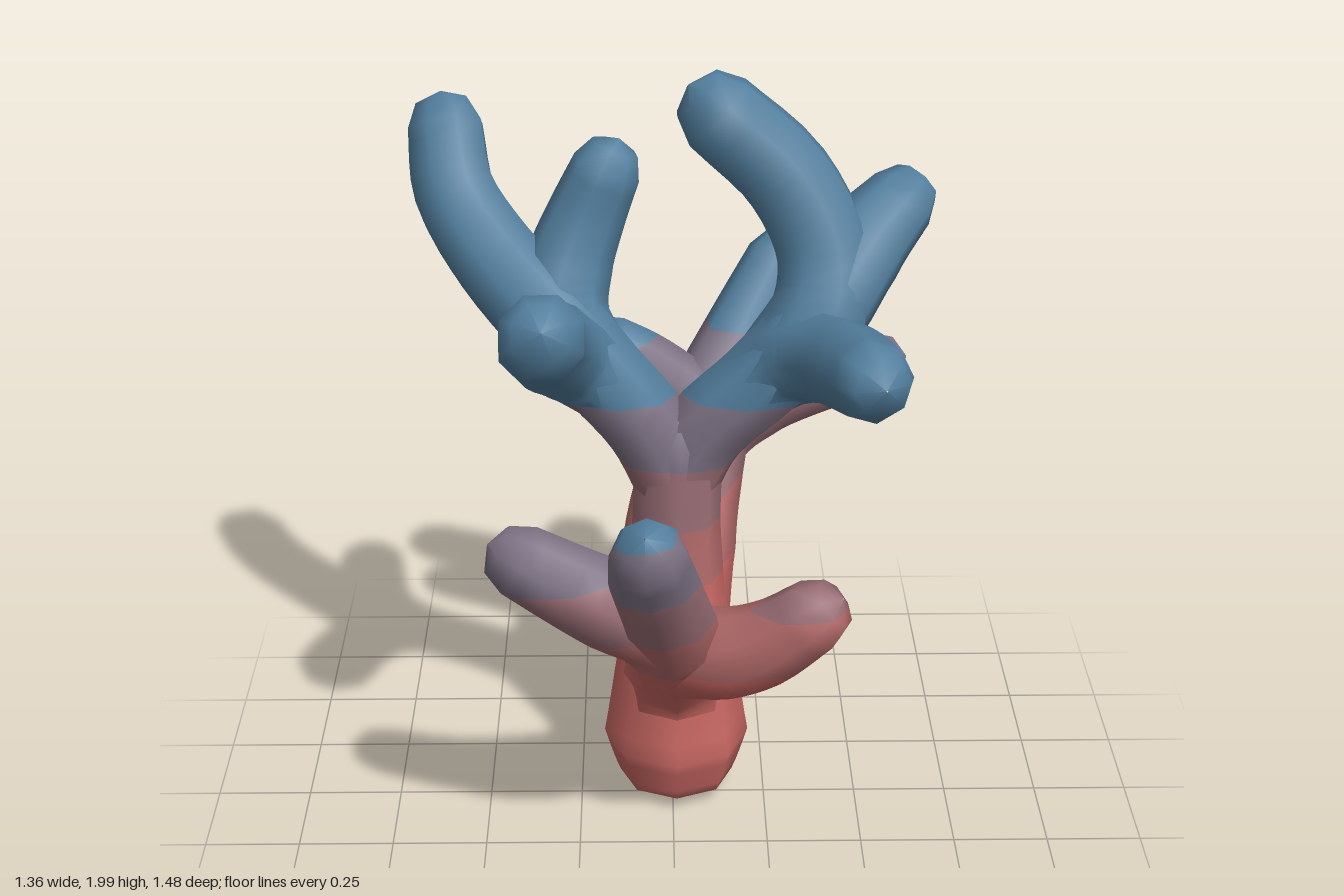
import * as THREE from 'three';

// Colour bands by height, bottom to top
const BANDS = [
  ['coralRed', 0xc96863, 0.67],
  ['dustyRed', 0xb36a6a, 0.83],
  ['rosyMauve', 0x996e75, 1.0],
  ['greyMauve', 0x7d7284, 1.18],
  ['reefBlue', 0x537f9e, Infinity],
];
const SIDES = 8, STEPS = 4;

// The bands dip towards the front, most of all on the right
const bandHeight = (p) => p.y + THREE.MathUtils.clamp(p.z - 0.1, 0, 0.3) * (0.2 - 0.4 * p.x);

// Each stem is a path of [x, y, z, radius]; side stems start along the axis of their parent
const STEMS = {
  trunk: [[0.01, 0, -0.05, 0.005], [0.01, 0.04, -0.05, 0.15], [0.01, 0.17, -0.05, 0.192], [0.01, 0.42, -0.04, 0.155],
    [0.01, 0.62, -0.04, 0.126], [0.01, 0.82, -0.04, 0.114], [0.02, 1.05, -0.05, 0.11]],
  frontBranch: [[0.01, 0.22, -0.05, 0.15], [0.01, 0.4, 0.02, 0.138], [0.01, 0.535, 0.165, 0.125], [0.0, 0.655, 0.32, 0.122],
    [-0.02, 0.79, 0.44, 0.12], [-0.05, 0.95, 0.56, 0.11], [-0.065, 1.075, 0.655, 0.092]],
  frontLeftTwig: [[0.0, 0.54, 0.17, 0.12], [0.04, 0.61, 0.29, 0.122], [0.13, 0.645, 0.365, 0.115],
    [0.23, 0.695, 0.405, 0.107], [0.35, 0.795, 0.44, 0.092]],
  frontRightTwig: [[0.0, 0.62, 0.27, 0.12], [-0.04, 0.74, 0.38, 0.125], [-0.15, 0.82, 0.44, 0.117],
    [-0.26, 0.89, 0.46, 0.105], [-0.38, 0.955, 0.45, 0.093]],
  backBranch: [[0.01, 0.28, -0.06, 0.15], [0.01, 0.49, -0.075, 0.14], [0.02, 0.69, -0.165, 0.15], [0.05, 0.82, -0.29, 0.14],
    [0.11, 0.98, -0.435, 0.122], [0.2, 1.14, -0.55, 0.107], [0.305, 1.32, -0.66, 0.09]],
  backLeftTwig: [[0.03, 0.78, -0.27, 0.11], [0.1, 0.91, -0.39, 0.12], [0.22, 0.975, -0.465, 0.118], [0.37, 1.02, -0.5, 0.106],
    [0.57, 1.065, -0.51, 0.09]],
  backRightTwig: [[0.04, 0.8, -0.28, 0.11], [0.08, 0.95, -0.41, 0.12], [-0.01, 1.035, -0.42, 0.108], [-0.085, 1.095, -0.425, 0.1],
    [-0.175, 1.15, -0.43, 0.09]],
  leftFork: [[0.01, 0.92, -0.05, 0.105], [0.08, 1.07, -0.05, 0.112], [0.23, 1.22, -0.04, 0.115], [0.36, 1.36, -0.05, 0.13],
    [0.385, 1.53, -0.12, 0.122], [0.295, 1.72, -0.165, 0.118], [0.115, 1.89, -0.175, 0.11]],
  leftOuterTwig: [[0.26, 1.26, -0.04, 0.105], [0.38, 1.4, -0.07, 0.122], [0.48, 1.53, -0.165, 0.12], [0.595, 1.63, -0.26, 0.094]],
  leftFrontTwig: [[0.18, 1.18, -0.05, 0.1], [0.31, 1.29, -0.01, 0.118], [0.4, 1.33, 0.1, 0.115], [0.445, 1.355, 0.22, 0.11],
    [0.48, 1.38, 0.355, 0.1]],
  rightFork: [[0.01, 0.92, -0.05, 0.105], [-0.06, 1.08, -0.05, 0.112], [-0.18, 1.23, -0.05, 0.115], [-0.31, 1.37, -0.08, 0.125],
    [-0.455, 1.5, -0.19, 0.117], [-0.56, 1.64, -0.3, 0.11], [-0.585, 1.79, -0.385, 0.1]],
  rightInnerTwig: [[-0.19, 1.24, -0.05, 0.105], [-0.28, 1.37, -0.1, 0.12], [-0.265, 1.49, -0.16, 0.112],
    [-0.22, 1.61, -0.19, 0.1], [-0.165, 1.74, -0.195, 0.088]],
  rightFrontTwig: [[-0.16, 1.2, -0.05, 0.1], [-0.26, 1.3, -0.01, 0.118], [-0.305, 1.365, 0.09, 0.117], [-0.32, 1.43, 0.22, 0.113],
    [-0.315, 1.51, 0.375, 0.107]],
};

// Sweep an eight-sided tube along a path and finish it with a blunt tip
function sweep(path) {
  const curve = new THREE.CatmullRomCurve3(path.map((p) => new THREE.Vector3(p[0], p[1], p[2])));
  const spans = path.length - 1, rings = [];
  for (let i = 0; i <= spans * STEPS; i++) {
    const k = Math.min(Math.floor(i / STEPS), spans - 1);
    const t = i / (spans * STEPS);
    rings.push({
      center: curve.getPoint(t), dir: curve.getTangent(t),
      radius: THREE.MathUtils.lerp(path[k][3], path[k + 1][3], i / STEPS - k),
    });
  }
  const end = rings[rings.length - 1];
  for (const [ahead, width] of [[0.65, 0.7], [0.93, 0.02]]) {
    rings.push({
      center: end.center.clone().addScaledVector(end.dir, ahead * end.radius),
      dir: end.dir, radius: end.radius * width,
    });
  }

  const positions = [], index = [];
  const side = Math.abs(rings[0].dir.x) > 0.8 ? new THREE.Vector3(0, 0, 1) : new THREE.Vector3(1, 0, 0);
  rings.forEach(({ center, dir, radius }, r) => {
    side.addScaledVector(dir, -side.dot(dir)).normalize();
    const up = new THREE.Vector3().crossVectors(dir, side);
    for (let s = 0; s < SIDES; s++) {
      const a = (s / SIDES) * Math.PI * 2;
      const p = center.clone().addScaledVector(side, Math.cos(a) * radius * 1.02)
        .addScaledVector(up, Math.sin(a) * radius * 1.02);
      positions.push(p.x, p.y, p.z);
      if (r === 0) continue;
      const b = r * SIDES + s, c = r * SIDES + ((s + 1) % SIDES);
      index.push(b - SIDES, c - SIDES, c, b - SIDES, c, b);
    }
  });
  const geometry = new THREE.BufferGeometry();
  geometry.setAttribute('position', new THREE.Float32BufferAttribute(positions, 3));
  geometry.setIndex(index);
  geometry.computeVertexNormals();
  return geometry;
}

// Keep the part of a polygon on one side of a band edge
function clip(polygon, level, sign) {
  const out = [];
  polygon.forEach((a, i) => {
    const b = polygon[(i + 1) % polygon.length];
    const da = (bandHeight(a.p) - level) * sign, db = (bandHeight(b.p) - level) * sign;
    if (da >= 0) out.push(a);
    if ((da > 0 && db < 0) || (da < 0 && db > 0)) {
      const t = da / (da - db);
      out.push({ p: a.p.clone().lerp(b.p, t), n: a.n.clone().lerp(b.n, t).normalize() });
    }
  });
  return out;
}

// Cut a geometry at the band edges, with one material group for each band
function cutIntoBands(source) {
  const { position, normal } = source.attributes, index = source.index.array;
  const points = [], normals = [], geometry = new THREE.BufferGeometry();
  let low = -Infinity;
  BANDS.forEach(([, , high], band) => {
    const start = points.length / 3;
    for (let i = 0; i < index.length; i += 3) {
      let polygon = [0, 1, 2].map((k) => ({
        p: new THREE.Vector3().fromBufferAttribute(position, index[i + k]),
        n: new THREE.Vector3().fromBufferAttribute(normal, index[i + k]),
      }));
      if (low > -Infinity) polygon = clip(polygon, low, 1);
      if (high < Infinity) polygon = clip(polygon, high, -1);
      for (let k = 1; k < polygon.length - 1; k++) {
        for (const v of [polygon[0], polygon[k], polygon[k + 1]]) {
          points.push(...v.p.toArray());
          normals.push(...v.n.toArray());
        }
      }
    }
    const count = points.length / 3 - start;
    if (count) geometry.addGroup(start, count, band);
    low = high;
  });
  geometry.setAttribute('position', new THREE.Float32BufferAttribute(points, 3));
  geometry.setAttribute('normal', new THREE.Float32BufferAttribute(normals, 3));
  return geometry;
}

export function createModel() {
  const model = new THREE.Group();
  model.name = 'branchingCoral';
  const materials = BANDS.map(([name, color]) => {
    const material = new THREE.MeshStandardMaterial({ color });
    material.name = name;
    return material;
  });
  for (const [name, path] of Object.entries(STEMS)) {
    const mesh = new THREE.Mesh(cutIntoBands(sweep(path)), materials);
    mesh.name = name;
    model.add(mesh);
  }
  return model;
}
